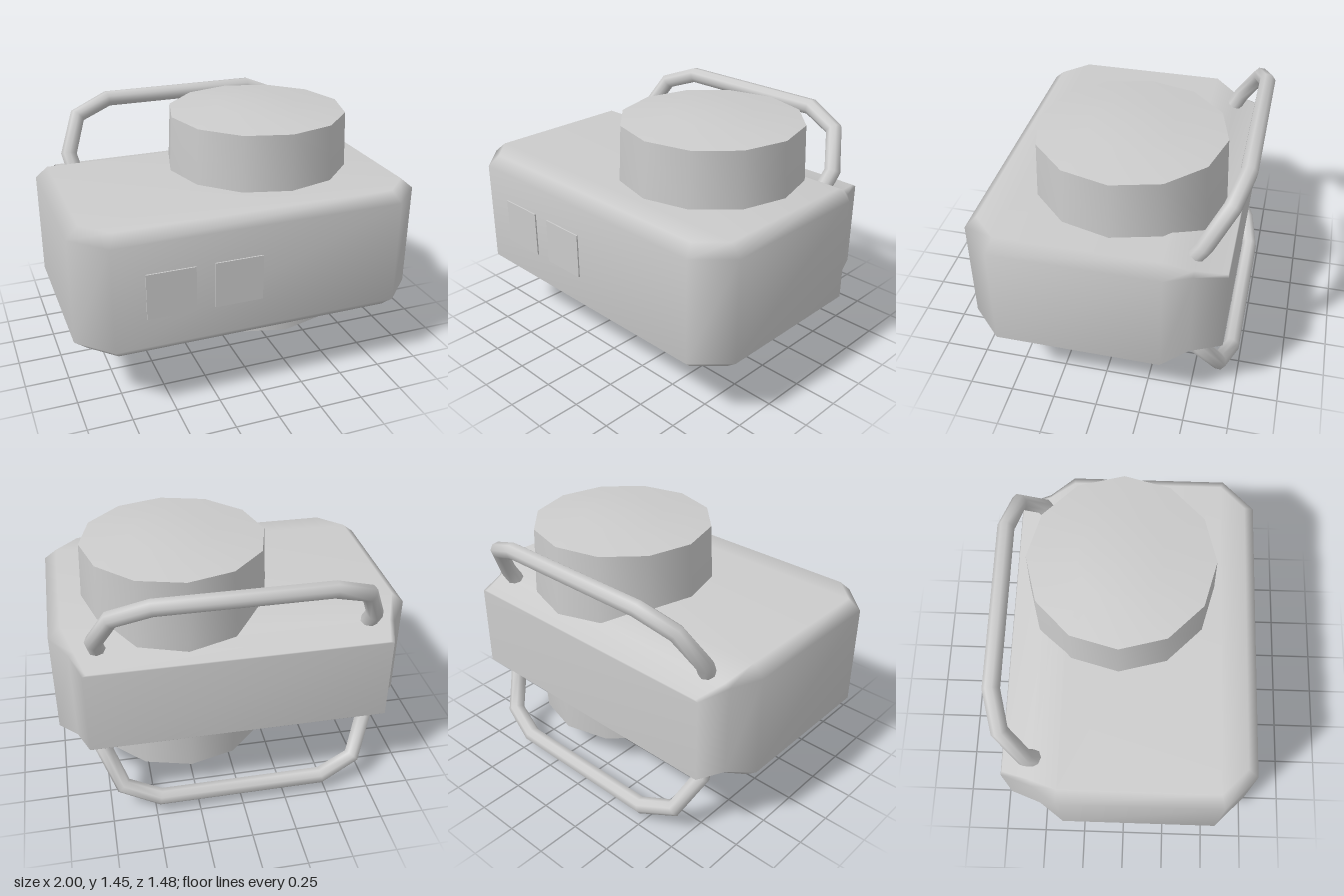
import * as THREE from 'three';
import { toCreasedNormals } from 'three/addons/utils/BufferGeometryUtils.js';

const grey = new THREE.MeshStandardMaterial({ color: 0xcccccc });
const thin = new THREE.MeshStandardMaterial({ color: 0xcccccc, side: THREE.DoubleSide });
const MID = 0.73;                     // height of the plane of symmetry
const AXIS = [0.27, 0, -0.045];       // vertical axis of the drum

function add(group, name, geometry, material = grey, pos = [0, 0, 0]) {
  const mesh = new THREE.Mesh(geometry, material);
  mesh.name = name;
  mesh.position.set(...pos);
  group.add(mesh);
  return mesh;
}

const lathe = (pts, ...rest) =>
  new THREE.LatheGeometry(pts.map(([r, y]) => new THREE.Vector2(r, y)), ...rest);

// Chamfered body: four stacked outlines, half of each given from front to back
function bodyGeometry() {
  const side = [[0.82, 0.73, 0.3], [1, 0.55, 0.3], [1, -0.36, 0.3], [0.9, -0.5, 0.265], [0.84, -0.67, 0.245]];
  const cap = [[0.79, 0.67, 0.36], [0.93, 0.53, 0.36], [0.93, -0.35, 0.36], [0.87, -0.5, 0.285], [0.82, -0.665, 0.25]];
  const pos = [], idx = [];
  for (const [half, s] of [[cap, -1], [side, -1], [side, 1], [cap, 1]]) {
    for (const [x, z, h] of half) pos.push(x, MID + s * h, z);
    for (const [x, z, h] of [...half].reverse()) pos.push(-x, MID + s * h, z);
  }
  const quad = (a, b, c, d) => idx.push(a, b, c, a, c, d);
  for (let r = 0; r < 3; r++)
    for (let i = 0; i < 10; i++) {
      const j = (i + 1) % 10;
      quad(r * 10 + i, r * 10 + j, r * 10 + 10 + j, r * 10 + 10 + i);
    }
  for (let i = 0; i < 4; i++) {
    quad(30 + i, 31 + i, 38 - i, 39 - i);
    quad(9 - i, 8 - i, i + 1, i);
  }
  const g = new THREE.BufferGeometry();
  g.setAttribute('position', new THREE.Float32BufferAttribute(pos, 3));
  g.setIndex(idx);
  g.computeVertexNormals();
  return g;
}

// Path with straight runs and one tube ring at every corner
class Polyline extends THREE.Curve {
  constructor(points) { super(); this.points = points; }
  getPoint(t, target = new THREE.Vector3()) {
    const n = this.points.length - 1, f = t * n, i = Math.min(Math.floor(f), n - 1);
    return target.lerpVectors(this.points[i], this.points[i + 1], f - i);
  }
  getPointAt(t, target) { return this.getPoint(t, target); }
  getTangentAt(t, target = new THREE.Vector3()) {
    const p = this.points, n = p.length - 1, i = Math.round(t * n);
    target.set(0, 0, 0);
    if (i > 0) target.add(p[i].clone().sub(p[i - 1]).normalize());
    if (i < n) target.add(p[i + 1].clone().sub(p[i]).normalize());
    return target.normalize();
  }
}

function handleGeometry(s) {
  const half = [[0.745, 0.26, -0.475], [0.765, 0.36, -0.53], [0.675, 0.56, -0.645], [0.47, 0.635, -0.695]];
  const pts = half.map(([x, h, z]) => new THREE.Vector3(x, MID + s * h, z));
  const other = pts.map(p => new THREE.Vector3(-p.x, p.y, p.z)).reverse();
  return new THREE.TubeGeometry(new Polyline([...pts, ...other]), 7, 0.048, 8);
}

export function createModel() {
  const model = new THREE.Group();
  model.name = 'model';

  add(model, 'body', bodyGeometry());

  // Drum through the body, domed on top and recessed underneath
  const drum = lathe([[0, 0.27], [0.47, 0.27], [0.48, 0.19], [0.52, 0.19], [0.535, 0.45],
    [0.535, 1.05], [0.52, 1.41], [0.24, 1.44], [0, 1.45]], 12);
  add(model, 'drum', toCreasedNormals(drum, 0.8), grey, AXIS);

  // Knob under the drum, held by four flat arms
  const knob = lathe([[0, 0.005], [0.245, 0.03], [0.26, 0.165], [0, 0.165]], 12);
  add(model, 'knob', toCreasedNormals(knob, 0.8), grey, AXIS);
  for (let k = 0; k < 4; k++) {
    const arm = lathe([[0.25, 0.165], [0.49, 0.19]], 1, Math.PI / 6 + k * Math.PI / 2, Math.PI / 6);
    add(model, 'knobArm', arm, thin, AXIS);
  }

  // Matching bent handles above and below the back edge
  add(model, 'upperHandle', handleGeometry(1), thin);
  add(model, 'lowerHandle', handleGeometry(-1), thin);

  // Thin plates on the front and underside
  for (const x of [-0.51, -0.135])
    add(model, 'frontPlate', new THREE.BoxGeometry(0.27, 0.26, 0.02), grey, [x, MID, 0.728]);
  add(model, 'bottomPlate', new THREE.BoxGeometry(0.46, 0.02, 0.38), grey, [-0.63, 0.376, 0.29]);

  return model;
}
